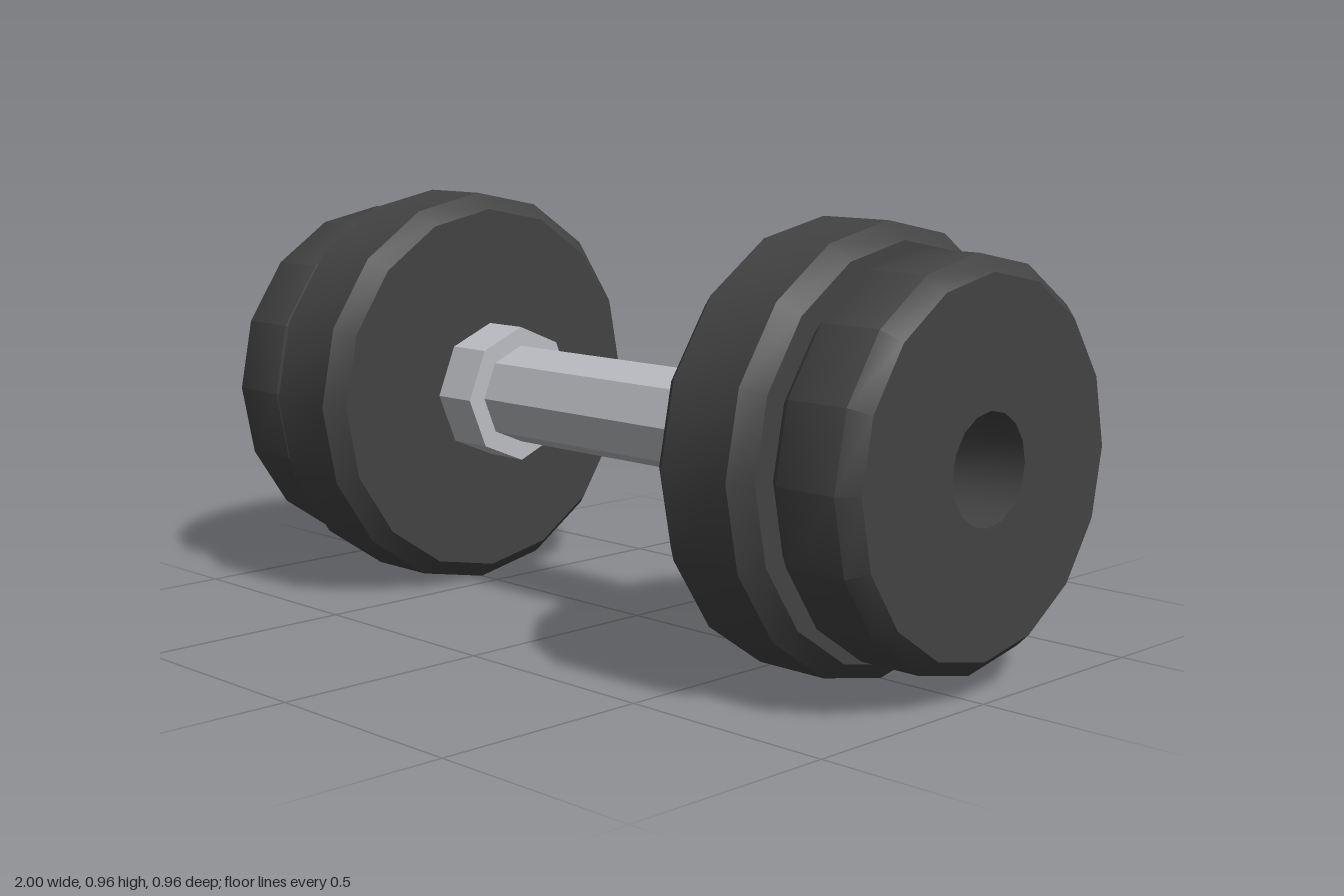
import * as THREE from 'three';
import { toCreasedNormals } from 'three/addons/utils/BufferGeometryUtils.js';

const rubber = new THREE.MeshStandardMaterial({ color: 0x434343 });
rubber.name = 'darkRubber';
const steel = new THREE.MeshStandardMaterial({ color: 0xbcbdc2 });
steel.name = 'brushedSteel';

const AXIS_Y = 0.482;
const HOLE = 0.119;

// Chamfered ring plate between x0 and x1, bored through the middle
function plate(name, x0, x1, radius, faceRadius, chamfer, crease) {
  const profile = [
    [HOLE, x1], [HOLE, x0], [faceRadius, x0], [radius, x0 + chamfer],
    [radius, x1 - chamfer], [faceRadius, x1], [HOLE, x1],
  ].map(([r, x]) => new THREE.Vector2(r, x));
  const geometry = toCreasedNormals(new THREE.LatheGeometry(profile, 16), crease);
  geometry.rotateZ(-Math.PI / 2);
  const mesh = new THREE.Mesh(geometry, rubber);
  mesh.name = name;
  return mesh;
}

// Eight-sided steel bar between x0 and x1, with sharp facets
function octagonBar(name, x0, x1, radius) {
  const geometry = toCreasedNormals(new THREE.CylinderGeometry(radius, radius, x1 - x0, 8), 0.5);
  geometry.rotateZ(-Math.PI / 2).translate((x0 + x1) / 2, 0, 0);
  const mesh = new THREE.Mesh(geometry, steel);
  mesh.name = name;
  return mesh;
}

export function createModel() {
  const model = new THREE.Group();
  model.name = 'dumbbell';

  const handle = octagonBar('handle', -0.41, 0.41, 0.118);
  handle.position.y = AXIS_Y;
  model.add(handle);

  // The same collar and plates at both ends
  for (const side of ['left', 'right']) {
    const end = new THREE.Group();
    end.name = side + 'Weights';
    end.add(
      octagonBar('collar', 0.402, 0.517, 0.164),
      plate('innerPlate', 0.516, 0.775, 0.482, 0.444, 0.042, 0.6),
      plate('outerPlate', 0.778, 1, 0.43, 0.395, 0.038, 0.8),
    );
    end.position.y = AXIS_Y;
    if (side === 'right') end.rotation.y = Math.PI;
    model.add(end);
  }
  return model;
}
